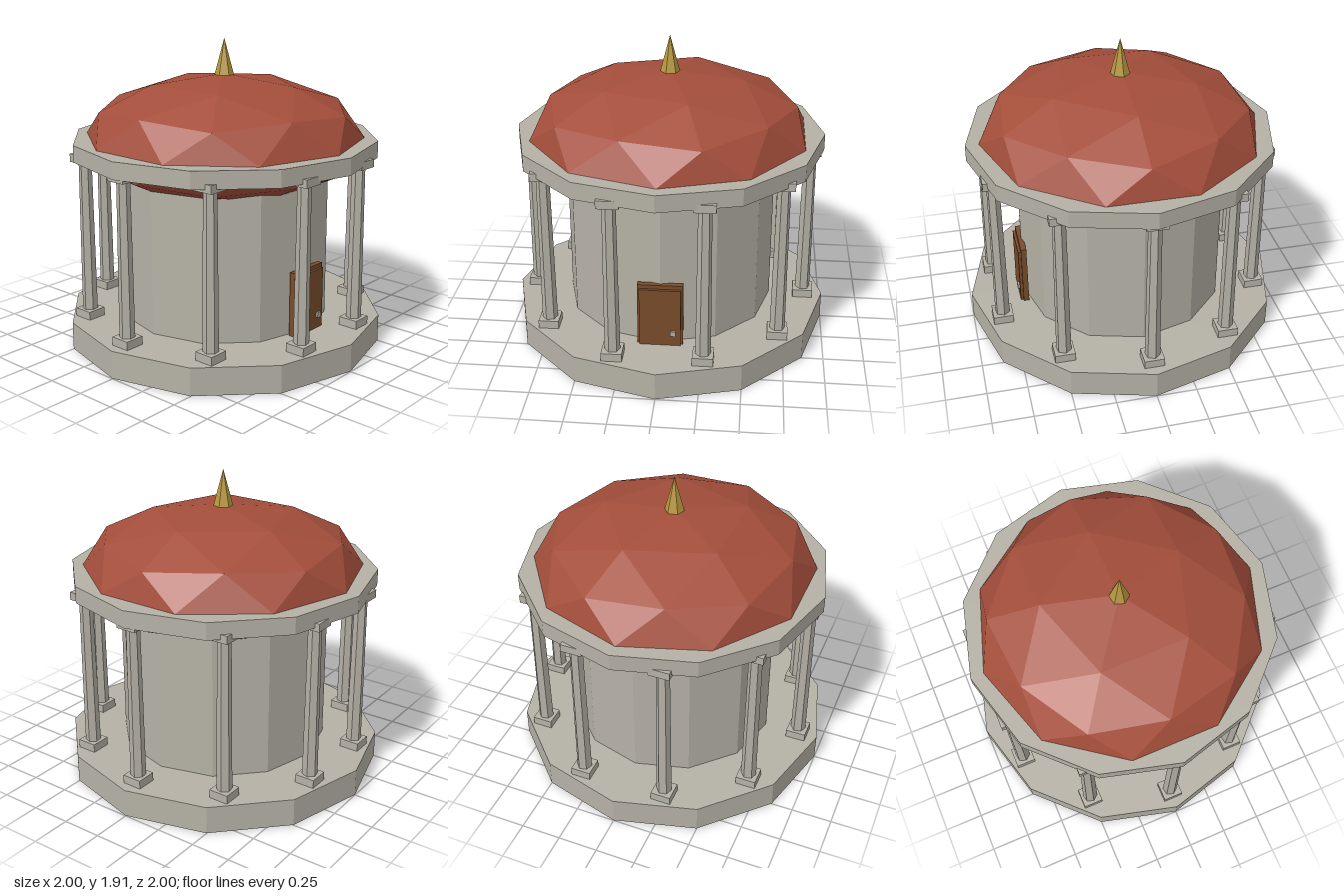
import * as THREE from 'three';

const material = (name, color) => {
  const m = new THREE.MeshStandardMaterial({ color });
  m.name = name;
  return m;
};

export function createModel() {
  const stone = material('stone', 0xb5b1a6);
  const roofRed = material('roof red', 0xa44e3b);
  const wood = material('door wood', 0x784c2b);
  const gold = material('gold', 0xb8983f);

  const model = new THREE.Group();
  model.name = 'rotunda';

  // Faceted mesh: every face gets its own normal
  const add = (name, geometry, mat, x = 0, y = 0, z = 0, parent = model) => {
    const flat = geometry.index ? geometry.toNonIndexed() : geometry;
    flat.computeVertexNormals();
    const mesh = new THREE.Mesh(flat, mat);
    mesh.name = name;
    mesh.position.set(x, y, z);
    parent.add(mesh);
    return mesh;
  };

  // Upright prism or cone between two heights
  const prism = (name, rTop, rBottom, y0, y1, sides, mat, turn = 0, parent = model) =>
    add(name, new THREE.CylinderGeometry(rTop, rBottom, y1 - y0, sides).rotateY(turn),
      mat, 0, (y0 + y1) / 2, 0, parent);

  // Twelve-sided base, drum wall and ring beam
  prism('base', 1, 1, 0.002, 0.175, 12, stone);
  prism('wall', 0.655, 0.655, 0.17, 1.2, 12, stone);
  prism('ringBeam', 0.955, 0.955, 1.2, 1.305, 12, stone);

  // Flattened faceted dome with one corner pointing straight up
  const dome = new THREE.IcosahedronGeometry(1, 1);
  dome.rotateZ(-Math.atan(2 / (1 + Math.sqrt(5))));
  dome.scale(0.872, 0.387, 0.872);
  add('dome', dome, roofRed, 0, 1.305, 0);

  // Spire
  prism('spire', 0, 0.06, 1.685, 1.91, 6, gold, -0.35);

  // Ten columns, each with a square plinth and capital
  for (let i = 0; i < 10; i++) {
    const a = (i / 10) * Math.PI * 2;
    const column = new THREE.Group();
    column.name = 'column';
    column.position.set(0.872 * Math.cos(a), 0, 0.872 * Math.sin(a));
    add('plinth', new THREE.BoxGeometry(0.125, 0.055, 0.125), stone, 0, 0.2, 0, column);
    prism('shaft', 0.04, 0.047, 0.22, 1.19, 6, stone, -0.35, column);
    add('capital', new THREE.BoxGeometry(0.13, 0.05, 0.13), stone, 0, 1.205, 0, column);
    model.add(column);
  }

  // Door: frame, raised panel and square knob
  add('doorFrame', new THREE.BoxGeometry(0.275, 0.58, 0.035), wood, 0, 0.29, 0.6575);
  add('doorPanel', new THREE.BoxGeometry(0.25, 0.38, 0.03), wood, 0, 0.365, 0.677);
  add('doorKnob', new THREE.BoxGeometry(0.032, 0.032, 0.02), stone, 0.08, 0.262, 0.695);

  return model;
}
